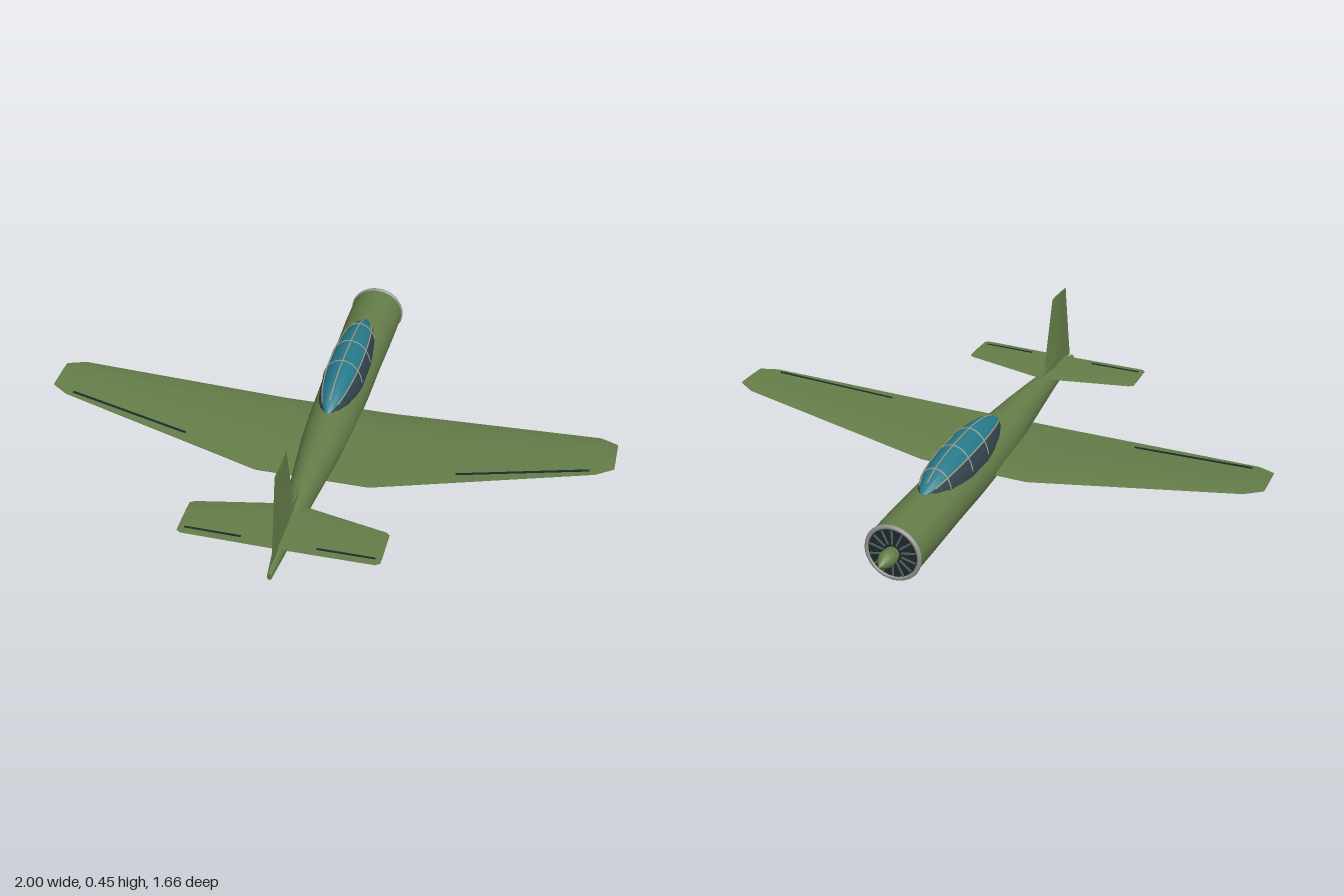
import * as THREE from 'three';
import { toCreasedNormals } from 'three/addons/utils/BufferGeometryUtils.js';

const material = (name, color) => {
  const m = new THREE.MeshStandardMaterial({ color, side: THREE.DoubleSide });
  m.name = name;
  return m;
};

// Skin a list of rings; closed rings get end caps.
function loft(rings, closed, crease = 0.6) {
  const n = rings[0].length, idx = [];
  const steps = closed ? n : n - 1;
  for (let i = 0; i < rings.length - 1; i++)
    for (let j = 0; j < steps; j++) {
      const k = (j + 1) % n;
      const a = i * n + j, b = i * n + k, d = a + n, e = b + n;
      idx.push(a, b, e, a, e, d);
    }
  if (closed) {
    const last = (rings.length - 1) * n;
    for (let j = 1; j < n - 1; j++) idx.push(0, j + 1, j, last, last + j, last + j + 1);
  }
  const g = new THREE.BufferGeometry();
  g.setAttribute('position', new THREE.Float32BufferAttribute(rings.flat(2), 3));
  g.setIndex(idx);
  return toCreasedNormals(g, crease);
}

// Part of an elliptical ring, angles in degrees.
function arc(z, cy, rx, ry, from, to, steps) {
  return Array.from({ length: steps + 1 }, (_, i) => {
    const t = THREE.MathUtils.degToRad(from + (to - from) * i / steps);
    return [rx * Math.cos(t), cy + ry * Math.sin(t), z];
  });
}

// Aerofoil surface; stations are [span, leading z, trailing z, height, half thickness].
const FOIL = [[0, 0], [0.07, 0.6], [0.3, 1], [0.65, 0.6], [1, 0.06], [1, -0.06], [0.65, -0.6], [0.3, -1], [0.07, -0.6]];
const foil = stations => loft(stations.map(([x, z0, z1, y, t]) =>
  FOIL.map(([f, h]) => [x, y + h * t, z0 + (z1 - z0) * f])), true, 0.5);
const mirrored = half => [...half.map(([x, ...r]) => [-x, ...r]).reverse(), ...half];

export function createModel() {
  const model = new THREE.Group();
  const green = material('olive green', 0x647c48);
  const grey = material('belly grey', 0x94948f);
  const dark = material('dark engine', 0x1e2a2c);
  const slate = material('slate glass', 0x33464f);
  const teal = material('teal glass', 0x25798a);
  const tan = material('frame tan', 0xa39c8a);
  const steel = material('steel', 0x55636a);

  const add = (name, geometry, mat, parent = model) => {
    const mesh = new THREE.Mesh(geometry, mat);
    mesh.name = name;
    parent.add(mesh);
    return mesh;
  };

  // Fuselage stations: z, bottom, top, half width
  const body = [
    [-0.73, 0.006, 0.197, 0.097], [-0.6, 0.009, 0.2, 0.097], [-0.4, 0.012, 0.2, 0.092], [-0.2, 0.013, 0.2, 0.09],
    [0, 0.019, 0.2, 0.084], [0.15, 0.032, 0.199, 0.075], [0.3, 0.048, 0.192, 0.06], [0.45, 0.063, 0.18, 0.045],
    [0.6, 0.078, 0.163, 0.03], [0.72, 0.089, 0.147, 0.02], [0.83, 0.1, 0.125, 0.008]];
  const hull = (from, to, steps) => loft(body.map(([z, b, t, w]) =>
    arc(z, (b + t) / 2, w, (t - b) / 2, from, to, steps)), false);
  add('fuselage', hull(-36, 216, 16), green);
  add('belly', hull(216, 324, 7), grey);
  const tailCap = add('tailCap', new THREE.CircleGeometry(1, 16), green);
  tailCap.scale.set(0.008, 0.0125, 1);
  tailCap.position.set(0, 0.1125, 0.83);

  // Engine: rim, dark intake, radial cylinders, spinner
  const engine = new THREE.Group();
  engine.name = 'engine';
  engine.position.set(0, 0.101, -0.733);
  model.add(engine);
  add('cowlRim', new THREE.TorusGeometry(0.093, 0.008, 8, 32), grey, engine);
  const intake = add('intake', new THREE.CylinderGeometry(0.09, 0.09, 0.006, 32), dark, engine);
  intake.rotation.x = Math.PI / 2;
  for (let i = 0; i < 14; i++) {
    const a = i / 14 * Math.PI * 2;
    const rib = add('engineRib', new THREE.BoxGeometry(0.006, 0.05, 0.006), steel, engine);
    rib.position.set(-0.058 * Math.sin(a), 0.058 * Math.cos(a), -0.003);
    rib.rotation.z = a;
  }
  const profile = [[0.024, 0], [0.029, 0.025], [0.029, 0.045], [0.022, 0.065], [0.011, 0.085], [0, 0.097]];
  const spinner = add('spinner', new THREE.LatheGeometry(profile.map(p => new THREE.Vector2(...p)), 16), green, engine);
  spinner.rotation.x = -Math.PI / 2;

  // Main wing with flat centre and raised outer panels
  add('wing', foil(mirrored([
    [0.2, -0.12, 0.3, 0.084, 0.018], [0.94, -0.045, 0.156, 0.171, 0.006], [1, -0.012, 0.122, 0.178, 0.003]])), green);
  add('tailplane', foil(mirrored([
    [0.03, 0.525, 0.745, 0.155, 0.006], [0.32, 0.587, 0.745, 0.157, 0.004], [0.335, 0.597, 0.735, 0.157, 0.003]])), green);
  const fin = foil([
    [0.14, 0.45, 0.802, 0, 0.009], [0.18, 0.45, 0.794, 0, 0.008],
    [0.188, 0.535, 0.792, 0, 0.007], [0.446, 0.605, 0.74, 0, 0.003]]);
  add('fin', fin.rotateZ(Math.PI / 2), green);

  // Control surface gaps as thin strips on the upper skins
  const strip = (name, a, b, width) => {
    const from = new THREE.Vector3(...a), to = new THREE.Vector3(...b);
    const m = add(name, new THREE.BoxGeometry(width, 0.004, from.distanceTo(to)), dark);
    m.position.copy(from).add(to).multiplyScalar(0.5);
    m.lookAt(to);
  };
  for (const s of [-1, 1]) {
    strip('aileronGap', [s * 0.48, 0.1205, 0.205], [s * 0.92, 0.171, 0.138], 0.008);
    strip('elevatorGap', [s * 0.125, 0.1575, 0.717], [s * 0.315, 0.158, 0.717], 0.007);
  }

  // Canopy stations: z, base, top, half width
  const canopy = [
    [-0.52, 0.19, 0.2, 0.012], [-0.48, 0.178, 0.222, 0.038], [-0.42, 0.17, 0.245, 0.058], [-0.35, 0.165, 0.257, 0.068],
    [-0.28, 0.163, 0.263, 0.073], [-0.15, 0.163, 0.265, 0.073], [-0.08, 0.167, 0.259, 0.066],
    [-0.01, 0.174, 0.245, 0.053], [0.04, 0.183, 0.226, 0.036], [0.08, 0.19, 0.2, 0.01]];
  const glass = (from, to, steps) => loft(canopy.map(([z, b, t, w]) => arc(z, b, w, t - b, from, to, steps)), false);
  add('canopyTop', glass(40, 140, 8), teal);
  add('canopySideLeft', glass(-15, 40, 4), slate);
  add('canopySideRight', glass(140, 195, 4), slate);

  // Canopy frames: hoops and lengthwise rails
  const tube = (name, pts) => add(name, new THREE.TubeGeometry(
    new THREE.CatmullRomCurve3(pts.map(p => new THREE.Vector3(...p))), 24, 0.0028, 5), tan);
  for (const i of [2, 4, 5]) {
    const [z, b, t, w] = canopy[i];
    tube('canopyHoop', arc(z, b, w, t - b, 10, 170, 12));
  }
  for (const angle of [40, 90, 140])
    tube('canopyRail', canopy.slice(1, -1).map(([z, b, t, w]) => arc(z, b, w, t - b, angle, angle, 1)[0]));

  return model;
}
